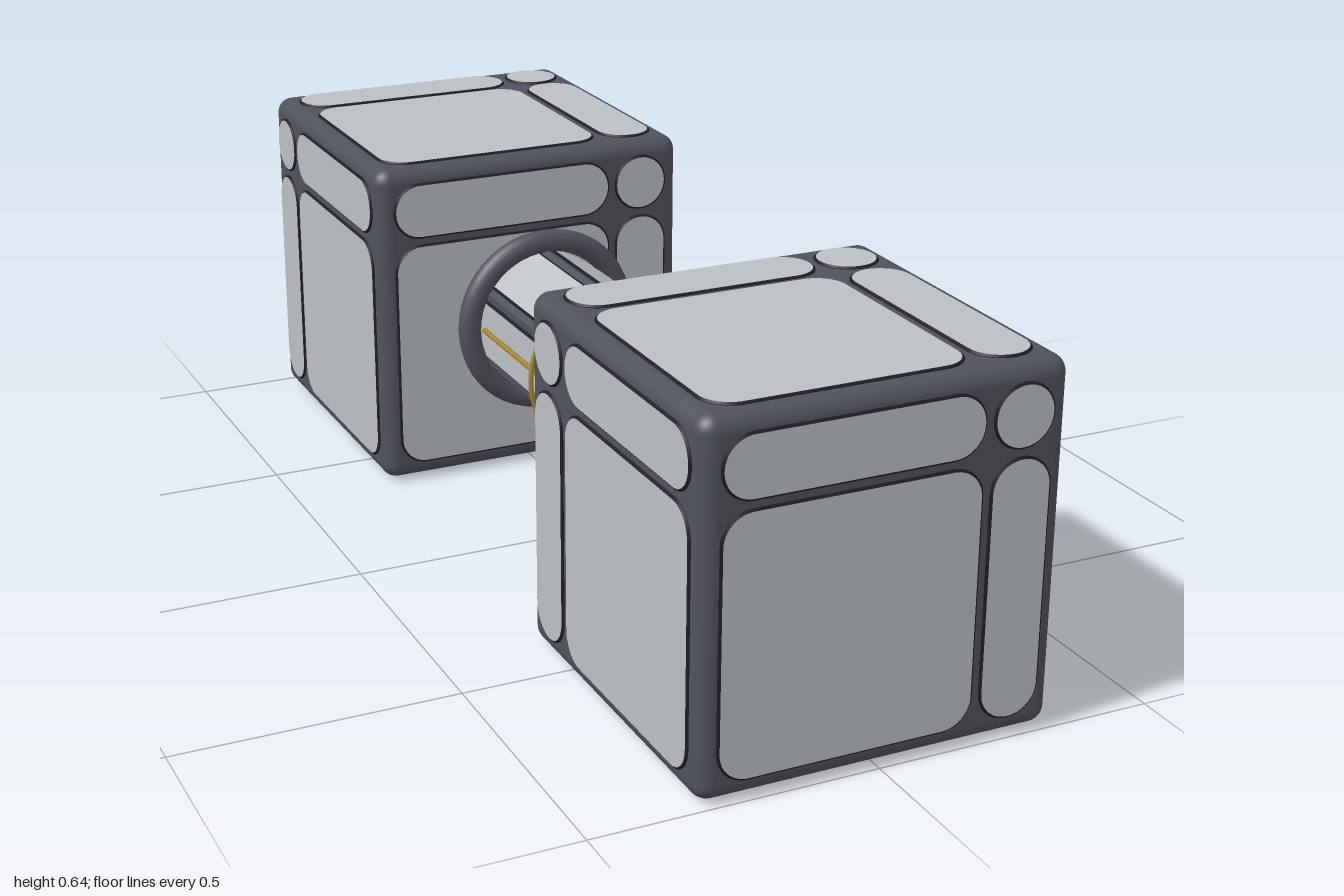
import * as THREE from 'three';
import { RoundedBoxGeometry } from 'three/addons/geometries/RoundedBoxGeometry.js';

const mat = (name, color) => Object.assign(new THREE.MeshStandardMaterial({ color }), { name });

// Rounded rectangle plate: flat face plus a thin bevelled edge, front at z = 0
function plateGeometry(x0, x1, y0, y1, r) {
  const s = new THREE.Shape();
  s.moveTo(x0 + r, y0);
  s.lineTo(x1 - r, y0);
  s.absarc(x1 - r, y0 + r, r, -Math.PI / 2, 0);
  s.lineTo(x1, y1 - r);
  s.absarc(x1 - r, y1 - r, r, 0, Math.PI / 2);
  s.lineTo(x0 + r, y1);
  s.absarc(x0 + r, y1 - r, r, Math.PI / 2, Math.PI);
  s.lineTo(x0, y0 + r);
  s.absarc(x0 + r, y0 + r, r, Math.PI, Math.PI * 1.5);
  const g = new THREE.ExtrudeGeometry(s, {
    depth: 0.004, bevelEnabled: true, bevelSize: 0.004, bevelThickness: 0.003, bevelSegments: 1, curveSegments: 8,
  });
  return g.translate(0, 0, -0.007);
}

export function createModel() {
  const body = mat('dark grey frame', 0x50535c);
  const panel = mat('light grey panel', 0xbcc0c3);
  const trim = mat('black trim', 0x1b1e24);
  const gold = mat('gold', 0xa5873a);

  const model = new THREE.Group();
  model.name = 'blockDumbbell';
  const add = (parent, name, geometry, material) => {
    const mesh = new THREE.Mesh(geometry, material);
    mesh.name = name;
    parent.add(mesh);
    return mesh;
  };

  // Panel splits along a face: long span and short span
  const long = [-0.281, 0.161], short = [0.181, 0.283];
  const mirrored = (s, sign) => (sign > 0 ? s : [-s[1], -s[0]]);

  // Faces: rotation, and the sides on which the short spans lie
  const faces = [
    ['front', 0, 0, 1, 1],
    ['back', 0, Math.PI, -1, 1],
    ['left', 0, Math.PI / 2, 1, 1],
    ['right', 0, -Math.PI / 2, -1, 1],
    ['top', -Math.PI / 2, 0, 1, 1],
    ['bottom', Math.PI / 2, 0, 1, -1],
  ];

  function makeBlock(name, z) {
    const block = new THREE.Group();
    block.name = name;
    block.position.set(0, 0.32, z);
    add(block, 'blockFrame', new RoundedBoxGeometry(0.632, 0.632, 0.632, 4, 0.03), body);
    for (const [side, rx, ry, su, sv] of faces) {
      const face = new THREE.Group();
      face.name = side + 'Panels';
      face.rotation.set(rx, ry, 0);
      for (const u of [long, short]) for (const v of [long, short]) {
        const g = plateGeometry(...mirrored(u, su), ...mirrored(v, sv), 0.0505);
        add(face, 'panel', g, [panel, trim]).position.z = 0.32;
      }
      block.add(face);
    }
    model.add(block);
  }
  makeBlock('frontBlock', 0.68);
  makeBlock('backBlock', -0.68);

  // Six-sided handle with a long panel on each side
  const handle = new THREE.Group();
  handle.name = 'handle';
  handle.position.y = 0.32;
  model.add(handle);
  const core = new THREE.CylinderGeometry(0.144, 0.144, 0.74, 6).toNonIndexed();
  core.computeVertexNormals();
  core.rotateX(Math.PI / 2);
  add(handle, 'handleCore', core, body);
  for (let i = 0; i < 6; i++) {
    const side = new THREE.Group();
    side.name = 'handleSide';
    side.rotation.z = i * Math.PI / 3;
    const g = plateGeometry(-0.35, 0.35, -0.054, 0.054, 0.045);
    g.rotateY(Math.PI / 2);
    add(side, 'handlePanel', g, [panel, trim]).position.x = 0.13;
    handle.add(side);
  }

  // Collars at the handle ends
  for (const z of [-0.3, 0.3]) {
    add(handle, 'collar', new THREE.TorusGeometry(0.16, 0.022, 12, 48), body).position.z = z;
  }

  // Gold ring round the middle and a gold rod along each side
  add(handle, 'goldRing', new THREE.TorusGeometry(0.16, 0.005, 8, 64), gold);
  for (const x of [-0.134, 0.134]) {
    const rod = new THREE.CylinderGeometry(0.005, 0.005, 0.58, 8).rotateX(Math.PI / 2);
    add(handle, 'goldRod', rod, gold).position.x = x;
  }
  return model;
}
